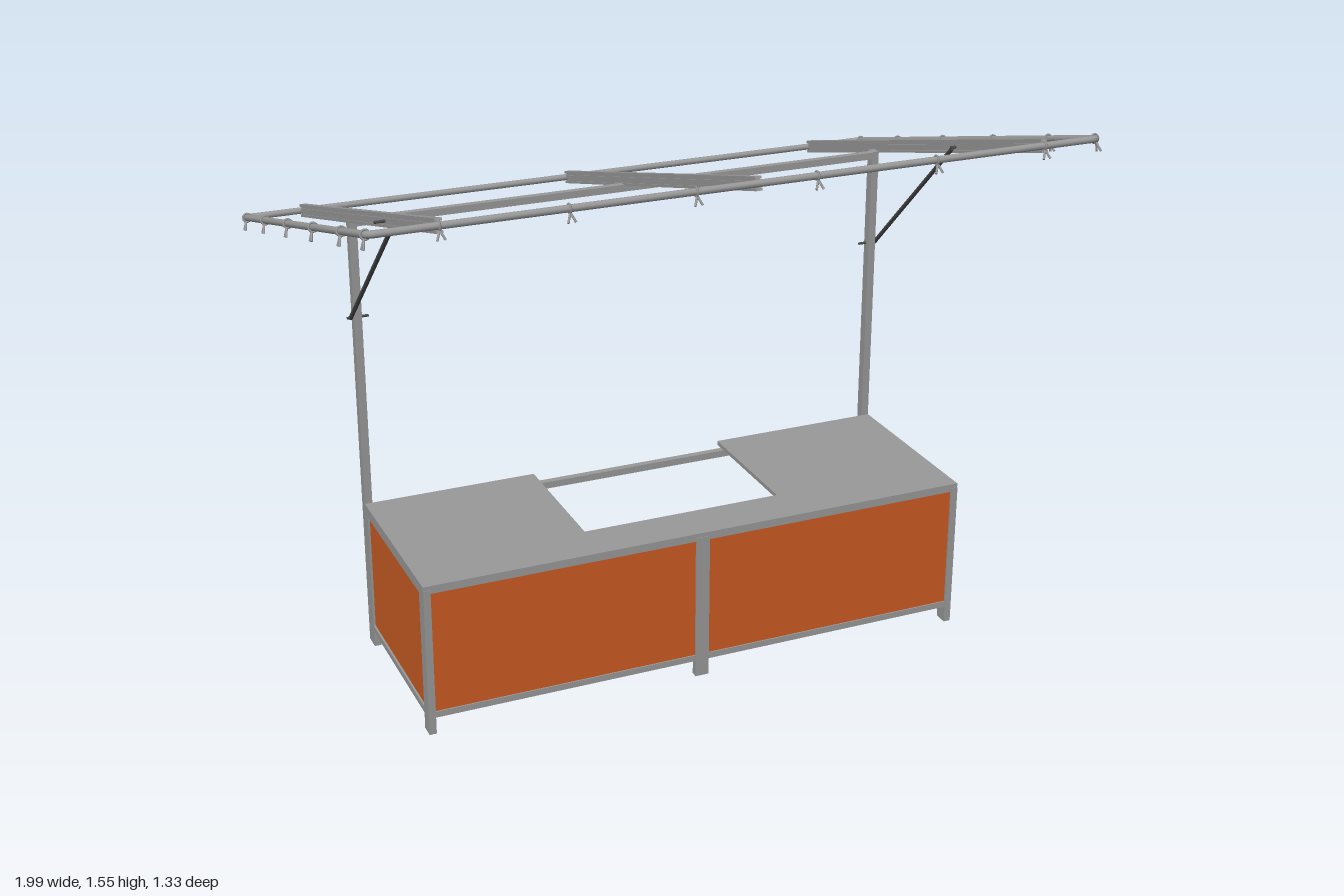
import * as THREE from 'three';

export function createModel() {
  const mat = (name, color) => {
    const m = new THREE.MeshStandardMaterial({ color });
    m.name = name;
    return m;
  };
  const metal = mat('aluminium', 0x999999);
  const orange = mat('orange panel', 0xc95b22);
  const wood = mat('brown panel back', 0x9c6c3a);
  const dark = mat('dark steel', 0x4a4a4a);
  const model = new THREE.Group();
  model.name = 'marketStall';

  const add = (parent, name, geo, material) => {
    const m = new THREE.Mesh(geo, material);
    m.name = name;
    parent.add(m);
    return m;
  };
  // Box given by its minimum and maximum on each axis
  const box = (parent, name, material, x0, x1, y0, y1, z0, z1) => {
    const m = add(parent, name, new THREE.BoxGeometry(x1 - x0, y1 - y0, z1 - z0), material);
    m.position.set((x0 + x1) / 2, (y0 + y1) / 2, (z0 + z1) / 2);
    return m;
  };
  // Round bar between two points
  const rod = (parent, name, material, a, b, r) => {
    const p = new THREE.Vector3(...a), q = new THREE.Vector3(...b);
    const m = add(parent, name, new THREE.CylinderGeometry(r, r, p.distanceTo(q), 8), material);
    m.position.copy(p).add(q).multiplyScalar(0.5);
    m.quaternion.setFromUnitVectors(new THREE.Vector3(0, 1, 0), q.sub(p).normalize());
    return m;
  };

  // Worktop with a bay open at the back
  const top = new THREE.Shape([
    [-0.8, 0.348], [-0.8, -0.19], [-0.295, -0.19], [-0.295, 0.213],
    [0.29, 0.213], [0.29, -0.19], [0.8, -0.19], [0.8, 0.348],
  ].map(([x, z]) => new THREE.Vector2(x, z)));
  const topGeo = new THREE.ExtrudeGeometry(top, { depth: 0.012, bevelEnabled: false });
  topGeo.rotateX(Math.PI / 2);
  add(model, 'worktop', topGeo, metal).position.y = 0.445;

  // Counter frame: front rails, back rail and middle leg
  box(model, 'frontTopRail', metal, -0.78, 0.78, 0.422, 0.433, 0.328, 0.348);
  box(model, 'innerFrontRail', metal, -0.78, 0.78, 0.413, 0.433, 0.29, 0.31);
  box(model, 'frontBottomRail', metal, -0.78, 0.78, 0.048, 0.066, 0.328, 0.348);
  box(model, 'backTopRail', metal, -0.78, 0.78, 0.413, 0.433, -0.165, -0.145);
  box(model, 'middleLeg', metal, -0.02, 0.02, 0, 0.433, 0.33, 0.35);

  for (const s of [-1, 1]) {
    const side = new THREE.Group();
    side.name = s > 0 ? 'leftSide' : 'rightSide';
    model.add(side);
    const sideBox = (name, material, x0, x1, ...rest) =>
      box(side, name, material, Math.min(s * x0, s * x1), Math.max(s * x0, s * x1), ...rest);

    // Legs, tall post and side rails
    sideBox('frontLeg', metal, 0.78, 0.8, 0, 0.433, 0.31, 0.35);
    sideBox('backLeg', metal, 0.78, 0.8, 0, 0.433, -0.19, -0.168);
    sideBox('roofPost', metal, 0.778, 0.8, 0, 1.285, -0.217, -0.19);
    sideBox('sideTopRail', metal, 0.78, 0.8, 0.413, 0.433, -0.168, 0.31);
    sideBox('sideBottomRail', metal, 0.78, 0.8, 0.048, 0.066, -0.168, 0.31);

    // Panels, orange outside and brown inside
    sideBox('sidePanel', orange, 0.789, 0.794, 0.066, 0.413, -0.168, 0.31);
    sideBox('sidePanelBack', wood, 0.784, 0.789, 0.066, 0.413, -0.168, 0.31);
    sideBox('frontPanel', orange, 0.02, 0.78, 0.066, 0.422, 0.339, 0.344);
    sideBox('frontPanelBack', wood, 0.02, 0.78, 0.066, 0.422, 0.334, 0.339);

    // Diagonal brace with its end pins
    rod(side, 'brace', dark, [s * 0.806, 1.0, -0.205], [s * 0.793, 1.41, 0.23], 0.006);
    rod(side, 'lowerPin', dark, [s * 0.815, 1.0, -0.208], [s * 0.755, 1.0, -0.208], 0.004);
    rod(side, 'upperPin', dark, [s * 0.785, 1.415, 0.235], [s * 0.848, 1.415, 0.235], 0.004);
  }
  box(model, 'roofCrossbar', metal, -0.78, 0.78, 1.265, 1.285, -0.205, -0.185);

  // Sloping roof frame, higher at the front
  const roof = new THREE.Group();
  roof.name = 'roofFrame';
  roof.position.y = 1.352;
  roof.rotation.x = -0.268;
  model.add(roof);

  // Rounded tube running round the edge
  const W = 0.978, L = 0.672, R = 0.03;
  const path = new THREE.CurvePath();
  const v = (x, z) => new THREE.Vector3(x, 0, z);
  const corners = [[1, 1], [-1, 1], [-1, -1], [1, -1]];
  corners.forEach(([sx, sz], i) => {
    const alongX = i % 2 === 0; // side on which the path leaves the corner
    const onX = v(sx * (W - R), sz * L), onZ = v(sx * W, sz * (L - R));
    const [a, b] = alongX ? [onZ, onX] : [onX, onZ];
    path.add(new THREE.QuadraticBezierCurve3(a, v(sx * W, sz * L), b));
    const [nx, nz] = corners[(i + 1) % 4];
    path.add(new THREE.LineCurve3(b, alongX ? v(nx * (W - R), nz * L) : v(nx * W, nz * (L - R))));
  });
  // One tube per segment keeps the corners exact
  for (const c of path.curves) {
    const steps = c.isLineCurve3 ? 1 : 6;
    add(roof, 'edgeTube', new THREE.TubeGeometry(c, steps, 0.0095, 10, false), metal);
  }

  // Slotted beams from front to back
  const profile = new THREE.Shape();
  const half = [[0.009, -0.018], [0.009, -0.011], [0.005, -0.011], [0.005, -0.006], [0.009, -0.006],
    [0.009, 0.006], [0.005, 0.006], [0.005, 0.011], [0.009, 0.011], [0.009, 0.018]];
  profile.setFromPoints([...half, ...half.map(([x, y]) => [-x, -y])].map(([x, y]) => new THREE.Vector2(x, y)));
  const beamGeo = new THREE.ExtrudeGeometry(profile, { depth: 1.35, bevelEnabled: false });
  beamGeo.translate(0, 0, -0.675);
  for (const x of [-0.81, 0, 0.81]) add(roof, 'roofBeam', beamGeo, metal).position.x = x;

  // Small two-pronged hooks under the edge tube
  const hook = (x, z, turn) => {
    const g = new THREE.Group();
    g.name = 'hook';
    g.position.set(x, 0, z);
    g.rotation.y = turn;
    roof.add(g);
    const ring = add(g, 'hookRing', new THREE.TorusGeometry(0.0115, 0.003, 5, 12), metal);
    ring.rotation.y = Math.PI / 2;
    for (const s of [-1, 1])
      rod(g, 'hookProng', metal, [0, -0.01, 0.004], [s * 0.01, -0.034, 0.01], 0.003);
  };
  for (const x of [-0.81, -0.49, -0.165, 0.16, 0.495, 0.81]) hook(x, L, 0);
  for (const s of [-1, 1])
    for (const z of [-0.65, -0.41, -0.135, 0.145, 0.43, 0.65]) hook(s * W, z, s * Math.PI / 2);

  return model;
}
